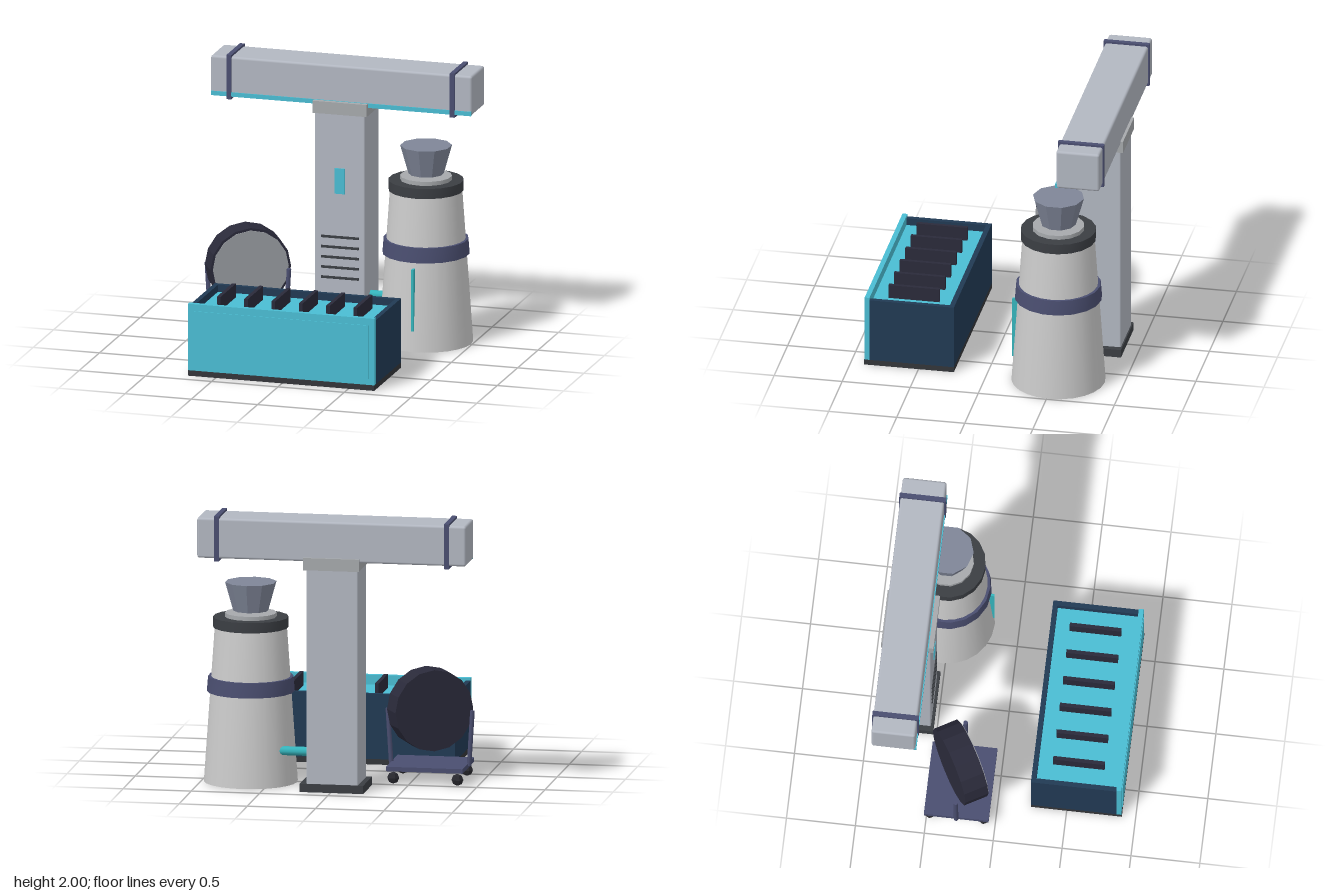
import * as THREE from 'three';
import { RoundedBoxGeometry } from 'three/addons/geometries/RoundedBoxGeometry.js';
import { toCreasedNormals } from 'three/addons/utils/BufferGeometryUtils.js';

const paint = (color) => new THREE.MeshStandardMaterial({ color });
const M = {
  steel: paint(0xb2b7c1), cap: paint(0xa6a9ac), white: paint(0xdddcdd), dark: paint(0x3b3e43),
  slate: paint(0x4a4e70), black: paint(0x2a2a3a), navy: paint(0x213a54), cyan: paint(0x4abdd3),
  teal: paint(0x35b5bd), funnel: paint(0x7f8698), face: paint(0x999ca1), base: paint(0x333539),
};

function add(parent, name, geometry, material, x = 0, y = 0, z = 0) {
  const mesh = new THREE.Mesh(geometry, material);
  mesh.name = name;
  mesh.position.set(x, y, z);
  parent.add(mesh);
  return mesh;
}

// Box given by its limits along each axis; a radius rounds its edges
function box(parent, name, material, [x0, x1], [y0, y1], [z0, z1], radius = 0) {
  const size = [x1 - x0, y1 - y0, z1 - z0];
  const geometry = radius ? new RoundedBoxGeometry(...size, 2, radius) : new THREE.BoxGeometry(...size);
  return add(parent, name, geometry, material, (x0 + x1) / 2, (y0 + y1) / 2, (z0 + z1) / 2);
}

// Upright cylinder or cone section from y0 to y1
function drum(parent, name, material, rTop, rBottom, y0, y1, sides, crease = 0.6) {
  const geometry = toCreasedNormals(new THREE.CylinderGeometry(rTop, rBottom, y1 - y0, sides), crease);
  return add(parent, name, geometry, material, 0, (y0 + y1) / 2, 0);
}

// Thin rod between two points
function rod(parent, name, material, a, b, radius, sides) {
  const from = new THREE.Vector3(...a), to = new THREE.Vector3(...b);
  const dir = to.clone().sub(from);
  const mesh = add(parent, name, new THREE.CylinderGeometry(radius, radius, dir.length(), sides), material);
  mesh.position.copy(from).add(to).multiplyScalar(0.5);
  mesh.quaternion.setFromUnitVectors(new THREE.Vector3(0, 1, 0), dir.normalize());
  return mesh;
}

function group(parent, name, x = 0, y = 0, z = 0) {
  const g = new THREE.Group();
  g.name = name;
  g.position.set(x, y, z);
  parent.add(g);
  return g;
}

// Column with overhead beam
function buildGantry(root) {
  const g = group(root, 'gantry');
  box(g, 'columnFoot', M.dark, [-0.24, 0.225], [0, 0.06], [-0.895, -0.525]);
  box(g, 'column', M.steel, [-0.2, 0.18], [0.005, 1.68], [-0.885, -0.545], 0.01);
  box(g, 'columnCap', M.cap, [-0.21, 0.2], [1.63, 1.72], [-0.905, -0.525]);
  box(g, 'columnLight', M.cyan, [-0.045, 0.03], [1.035, 1.225], [-0.55, -0.537]);
  for (let i = 0; i < 5; i++) {
    const y = 0.71 - i * 0.076;
    box(g, 'vent', M.dark, [-0.15, 0.135], [y - 0.009, y + 0.009], [-0.55, -0.538]);
  }
  box(g, 'beam', M.steel, [-0.99, 0.98], [1.69, 1.985], [-0.885, -0.567], 0.018);
  box(g, 'beamLightStrip', M.cyan, [-0.985, 0.975], [1.69, 1.722], [-0.58, -0.56]);
  for (const x of [-0.85, 0.835]) {
    box(g, 'beamStrap', M.slate, [x - 0.018, x + 0.018], [1.67, 2.0], [-0.893, -0.556]);
  }
}

// Tapered vessel with bands and a funnel on top
function buildVessel(root) {
  const g = group(root, 'vessel', 0.65, 0, -0.52);
  drum(g, 'vesselBody', M.white, 0.26, 0.34, 0, 1.15, 24);
  drum(g, 'vesselBand', M.slate, 0.308, 0.317, 0.66, 0.77, 18);
  drum(g, 'vesselCollar', M.dark, 0.273, 0.273, 1.13, 1.205, 18);
  drum(g, 'vesselNeck', M.cap, 0.188, 0.188, 1.2, 1.235, 14);
  drum(g, 'funnel', M.funnel, 0.187, 0.128, 1.25, 1.46, 10, 0.3);
  box(g, 'levelGauge', M.teal, [-0.009, 0.009], [0.155, 0.615], [0.29, 0.338]);
  rod(g, 'connectingPipe', M.teal, [-0.2, 0.26, -0.17], [-0.475, 0.26, -0.17], 0.033, 10);
}

// Open tank with a filled interior and a row of fins
function buildTank(root) {
  const g = group(root, 'tank');
  box(g, 'tankBase', M.base, [-0.71, 0.695], [0, 0.04], [0.24, 0.9]);
  const wall = [0.04, 0.518];
  box(g, 'tankBackWall', M.navy, [-0.71, 0.695], wall, [0.24, 0.276]);
  box(g, 'tankRightWall', M.navy, [-0.71, -0.675], wall, [0.276, 0.86]);
  box(g, 'tankLeftWall', M.navy, [0.66, 0.695], wall, [0.276, 0.86]);
  box(g, 'tankFilling', M.cyan, [-0.675, 0.66], [0.04, 0.465], [0.276, 0.86]);
  box(g, 'tankFrontPanel', M.cyan, [-0.71, 0.695], [0.04, 0.537], [0.86, 0.896]);
  box(g, 'tankFrontInset', M.cyan, [-0.665, 0.65], [0.085, 0.485], [0.89, 0.902]);
  for (let i = 0; i < 6; i++) {
    const x = -0.522 + i * 0.206;
    box(g, 'tankFin', M.black, [x - 0.014, x + 0.014], [0.45, 0.567], [0.38, 0.755]);
  }
}

// Wheeled cart carrying a tilted drum
function buildCart(root) {
  const g = group(root, 'drumCart', -0.62, 0, -0.28);
  box(g, 'cartPlatform', M.slate, [-0.28, 0.28], [0.1, 0.133], [-0.235, 0.235]);
  for (const sx of [-1, 1]) {
    for (const sz of [-1, 1]) {
      const wheel = add(g, 'caster', new THREE.SphereGeometry(0.044, 6, 4), M.black, sx * 0.235, 0.047, sz * 0.195);
      wheel.material = M.casterFlat ??= new THREE.MeshStandardMaterial({ color: 0x2a2a30, flatShading: true });
    }
    rod(g, 'drumPost', M.slate, [sx * 0.285, 0.115, 0], [sx * 0.31, 0.52, 0], 0.017, 8);
  }
  const d = group(g, 'drum', 0, 0.525, 0);
  d.rotation.y = Math.PI / 6;
  const disc = (name, material, r, z0, z1) => {
    const geometry = toCreasedNormals(new THREE.CylinderGeometry(r, r, z1 - z0, 16).rotateX(Math.PI / 2), 0.3);
    add(d, name, geometry, material, 0, 0, (z0 + z1) / 2);
  };
  disc('drumShell', M.black, 0.298, -0.09, 0.09);
  disc('drumFace', M.face, 0.28, 0.08, 0.097);
}

export function createModel() {
  const root = new THREE.Group();
  root.name = 'processingStation';
  buildGantry(root);
  buildVessel(root);
  buildTank(root);
  buildCart(root);
  return root;
}
